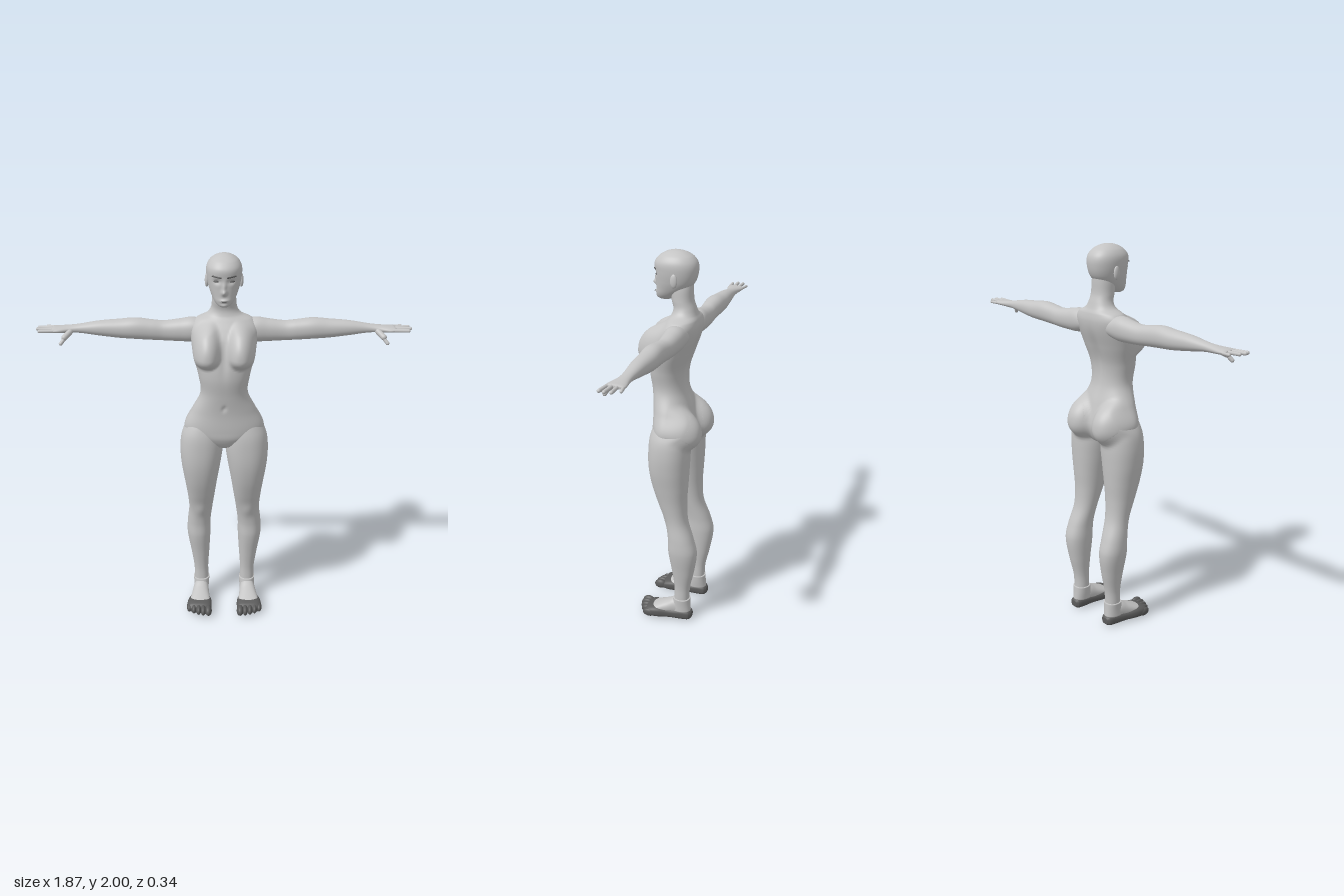
import * as THREE from 'three';

const skin = new THREE.MeshStandardMaterial({ color: 0xc4c4c4 });
skin.name = 'skin grey';
const dark = new THREE.MeshStandardMaterial({ color: 0x5c5c5c });
dark.name = 'dark grey';

// Axis maps: (t along the loft, a and b across it) to x, y, z
const upward = (t, a, b) => [a, t, b];
const sideways = (t, a, b) => [t, b, a];
const forward = (t, a, b) => [b, a, t];

// Smooth skin over sections [t, aMin, aMax, bMin, bMax]
function loft(sections, map, { segs = 40, steps = 7, power = 2.2 } = {}) {
  const slope = (i, k) => {
    const p = sections[Math.max(i - 1, 0)], q = sections[Math.min(i + 1, sections.length - 1)];
    return (q[k] - p[k]) / (q[0] - p[0]);
  };
  const rings = [];
  for (let i = 0; i < sections.length - 1; i++) {
    const p = sections[i], q = sections[i + 1], h = q[0] - p[0];
    for (let s = 0; s < steps; s++) {
      const u = s / steps, u2 = u * u, u3 = u2 * u;
      rings.push(p.map((v, k) => k === 0 ? v + h * u :
        (2 * u3 - 3 * u2 + 1) * v + (u3 - 2 * u2 + u) * h * slope(i, k) +
        (3 * u2 - 2 * u3) * q[k] + (u3 - u2) * h * slope(i + 1, k)));
    }
  }
  rings.push(sections[sections.length - 1]);
  const pos = [], index = [];
  const round = v => Math.sign(v) * Math.abs(v) ** (2 / power);
  for (const [t, a0, a1, b0, b1] of rings) {
    for (let j = 0; j < segs; j++) {
      const th = j / segs * Math.PI * 2;
      pos.push(...map(t, (a0 + a1) / 2 + (a1 - a0) / 2 * round(Math.cos(th)),
        (b0 + b1) / 2 + (b1 - b0) / 2 * round(Math.sin(th))));
    }
  }
  for (let i = 0; i < rings.length - 1; i++) {
    for (let j = 0; j < segs; j++) {
      const k = (j + 1) % segs, a = i * segs + j, b = i * segs + k;
      index.push(a, a + segs, b, b, a + segs, b + segs);
    }
  }
  // Closed ends
  const last = (rings.length - 1) * segs, n = rings.length * segs;
  for (const [t, a0, a1, b0, b1] of [rings[0], rings[rings.length - 1]]) {
    pos.push(...map(t, (a0 + a1) / 2, (b0 + b1) / 2));
  }
  for (let j = 0; j < segs; j++) {
    const k = (j + 1) % segs;
    index.push(n, j, k, n + 1, last + k, last + j);
  }
  const g = new THREE.BufferGeometry();
  g.setAttribute('position', new THREE.Float32BufferAttribute(pos, 3));
  g.setIndex(index);
  g.computeVertexNormals();
  return g;
}

// Push the surface in or out along z by soft bumps [x, y, z, rx, ry, rz, push]
function sculpt(g, bumps) {
  const p = g.attributes.position;
  for (let i = 0; i < p.count; i++) {
    let dz = 0;
    for (const [x, y, z, rx, ry, rz, push] of bumps) {
      dz += push * Math.exp(-(((p.getX(i) - x) / rx) ** 2) - ((p.getY(i) - y) / ry) ** 2 - ((p.getZ(i) - z) / rz) ** 2);
    }
    p.setZ(i, p.getZ(i) + dz);
  }
  g.computeVertexNormals();
  return g;
}

// Swell a mirrored pair of round lobes out of the front (side 1) or back (side -1)
function swell(g, { x, y, peak, depth, rx, down, up, side }) {
  const p = g.attributes.position, k = 0.02;
  for (let i = 0; i < p.count; i++) {
    const dy = p.getY(i) - y, z = p.getZ(i) * side;
    const r = Math.hypot((Math.abs(p.getX(i)) - x) / rx, dy / (dy > 0 ? up : down));
    const lobe = peak - depth * r ** 2.4;
    const blend = Math.max(k - Math.abs(z - lobe), 0) / k;
    const target = Math.max(z, lobe) + blend * blend * k / 4;
    p.setZ(i, side * (z + (target - z) * THREE.MathUtils.smoothstep(z, 0.01, 0.06)));
  }
  g.computeVertexNormals();
  return g;
}

// Ellipsoid whose upper half may be taller than its lower half
function blob(x, y, z, rx, ry, rz, up = ry) {
  const g = new THREE.SphereGeometry(1, 32, 24), p = g.attributes.position, nm = g.attributes.normal;
  for (let i = 0; i < p.count; i++) {
    const h = p.getY(i) > 0 ? up : ry;
    const n = new THREE.Vector3(p.getX(i) / rx, p.getY(i) / h, p.getZ(i) / rz).normalize();
    nm.setXYZ(i, n.x, n.y, n.z);
    p.setXYZ(i, x + p.getX(i) * rx, y + p.getY(i) * h, z + p.getZ(i) * rz);
  }
  return g;
}

// Rounded rod between two points
function rod(from, to, r) {
  const a = new THREE.Vector3(...from), b = new THREE.Vector3(...to), d = b.clone().sub(a);
  const g = new THREE.CapsuleGeometry(r, d.length(), 6, 14);
  g.applyQuaternion(new THREE.Quaternion().setFromUnitVectors(new THREE.Vector3(0, 1, 0), d.normalize()));
  const m = a.add(b).multiplyScalar(0.5);
  return g.translate(m.x, m.y, m.z);
}

function flipped(geo) {
  const g = geo.clone();
  for (const key of ['position', 'normal']) {
    const p = g.attributes[key];
    for (let i = 0; i < p.count; i++) p.setX(i, -p.getX(i));
  }
  g.setIndex([...g.index.array].reverse());
  return g;
}

export function createModel() {
  const model = new THREE.Group();
  model.name = 'figure';
  const add = (name, geo, mat = skin) => {
    const mesh = new THREE.Mesh(geo, mat);
    mesh.name = name;
    model.add(mesh);
  };
  const pair = (name, geo, mat = skin) => {
    add('left ' + name, geo, mat);
    add('right ' + name, flipped(geo), mat);
  };
  const breasts = { x: 0.08, y: 1.505, peak: 0.17, depth: 0.085, rx: 0.072, down: 0.066, up: 0.135, side: 1 };
  const buttocks = { x: 0.097, y: 1.09, peak: 0.167, depth: 0.09, rx: 0.1, down: 0.105, up: 0.13, side: -1 };

  // Torso and neck
  const torso = loft([
    [0.985, 0.03, -0.05, 0.02], [1.0, 0.08, -0.08, 0.06], [1.05, 0.165, -0.11, 0.093],
    [1.1, 0.206, -0.115, 0.1], [1.2, 0.165, -0.09, 0.103], [1.3, 0.12, -0.06, 0.115],
    [1.4, 0.13, -0.06, 0.128], [1.5, 0.155, -0.09, 0.118], [1.58, 0.165, -0.117, 0.09],
    [1.63, 0.165, -0.125, 0.06], [1.667, 0.138, -0.12, 0.032], [1.69, 0.088, -0.11, 0.016],
    [1.72, 0.066, -0.1, 0.01], [1.76, 0.06, -0.088, 0.02], [1.82, 0.056, -0.086, 0.03], [1.87, 0.045, -0.085, 0.03],
  ].map(([y, w, back, front]) => [y, -w, w, back, front]), upward, { segs: 128, steps: 10 });
  swell(swell(torso, breasts), buttocks);
  add('torso', sculpt(torso, [
    [0, 1.42, -0.08, 0.03, 0.17, 0.06, 0.014],
    [0, 1.235, 0.11, 0.01, 0.014, 0.03, -0.008],
    [0, 1.5, 0.12, 0.02, 0.08, 0.04, -0.008],
  ]));

  // Head with brow, nose, lips, chin and eye sockets
  const head = [
    [1.757, 0.022, 0.03, 0.084], [1.765, 0.034, 0.01, 0.095], [1.785, 0.05, -0.02, 0.1],
    [1.815, 0.065, -0.066, 0.1], [1.85, 0.077, -0.096, 0.101], [1.9, 0.086, -0.11, 0.105],
    [1.94, 0.085, -0.107, 0.106], [1.97, 0.069, -0.086, 0.084], [1.988, 0.045, -0.056, 0.055],
    [1.997, 0.022, -0.026, 0.027], [2.0, 0.004, -0.004, 0.005],
  ].map(([y, w, back, front]) => [y, -w, w, back, front]);
  add('head', sculpt(loft(head, upward, { segs: 110, steps: 9 }), [
    [0, 1.833, 0.1, 0.012, 0.013, 0.04, 0.018],
    [0, 1.858, 0.1, 0.009, 0.022, 0.04, 0.01],
    [0, 1.792, 0.1, 0.02, 0.008, 0.04, 0.009],
    [0, 1.768, 0.1, 0.018, 0.01, 0.04, 0.006],
    [0.034, 1.885, 0.1, 0.018, 0.012, 0.05, -0.01],
    [-0.034, 1.885, 0.1, 0.018, 0.012, 0.05, -0.01],
  ]));
  pair('ear', blob(0.084, 1.863, -0.016, 0.01, 0.032, 0.018, 0.036));
  pair('eye', blob(0.034, 1.885, 0.085, 0.017, 0.006, 0.008), dark);
  pair('eyebrow', rod([0.016, 1.906, 0.106], [0.055, 1.911, 0.088], 0.004), dark);
  add('mouth', blob(0, 1.792, 0.107, 0.016, 0.0025, 0.005), dark);

  // Arm and palm
  pair('arm', loft([
    [0.09, -0.105, 0.01, 1.56, 1.655], [0.16, -0.105, 0.008, 1.545, 1.667], [0.22, -0.102, 0, 1.545, 1.658],
    [0.3, -0.098, -0.008, 1.548, 1.648], [0.36, -0.096, -0.004, 1.552, 1.654], [0.44, -0.1, 0, 1.557, 1.663],
    [0.52, -0.1, -0.005, 1.562, 1.656], [0.62, -0.091, -0.012, 1.574, 1.648], [0.72, -0.081, -0.022, 1.588, 1.632],
    [0.77, -0.082, -0.018, 1.59, 1.626], [0.82, -0.09, -0.001, 1.593, 1.622], [0.845, -0.09, 0, 1.597, 1.62],
    [0.855, -0.08, -0.008, 1.602, 1.616],
  ], sideways));

  // Fingers and thumb
  const fingers = {
    'index finger': [[0.84, 1.608, -0.009], [0.913, 1.609, -0.003], 0.0088],
    'middle finger': [[0.84, 1.609, -0.033], [0.926, 1.612, -0.032], 0.0088],
    'ring finger': [[0.84, 1.608, -0.057], [0.92, 1.612, -0.063], 0.0085],
    'little finger': [[0.83, 1.606, -0.08], [0.886, 1.608, -0.092], 0.0075],
    'thumb base': [[0.765, 1.6, -0.025], [0.79, 1.58, 0.006], 0.015],
    'thumb tip': [[0.788, 1.577, 0.007], [0.808, 1.553, 0.021], 0.0095],
  };
  for (const [name, args] of Object.entries(fingers)) pair(name, rod(...args));

  // Leg with knee and shin
  const leg = loft([
    [0.08, 0.09, 0.166, -0.122, -0.037], [0.13, 0.089, 0.167, -0.12, -0.04], [0.2, 0.09, 0.168, -0.125, -0.04],
    [0.3, 0.083, 0.183, -0.147, -0.028], [0.42, 0.076, 0.202, -0.163, -0.01], [0.5, 0.075, 0.2, -0.143, -0.008],
    [0.6, 0.064, 0.19, -0.108, 0.01], [0.7, 0.05, 0.197, -0.1, 0.048], [0.8, 0.035, 0.211, -0.105, 0.08],
    [0.9, 0.018, 0.225, -0.11, 0.098], [1.0, 0.005, 0.228, -0.112, 0.1], [1.08, 0.008, 0.213, -0.105, 0.092],
    [1.18, 0.03, 0.155, -0.07, 0.06], [1.23, 0.06, 0.12, -0.04, 0.03],
  ], upward, { segs: 72 });
  pair('leg', sculpt(swell(leg, buttocks), [[0.127, 0.6, 0.01, 0.032, 0.04, 0.04, 0.008]]));

  // Ankle cuff, instep and dark lower foot
  pair('ankle cuff', loft([
    [0.05, 0.09, 0.17, -0.13, -0.01], [0.09, 0.086, 0.17, -0.127, -0.025], [0.128, 0.084, 0.172, -0.125, -0.035],
  ], upward));
  pair('instep', loft([
    [-0.11, 0.03, 0.085, 0.1, 0.16], [-0.05, 0.025, 0.12, 0.09, 0.17], [0, 0.02, 0.1, 0.085, 0.18],
    [0.06, 0.02, 0.074, 0.079, 0.192], [0.1, 0.02, 0.056, 0.085, 0.19],
  ], forward));
  pair('lower foot', loft([
    [-0.137, 0.012, 0.045, 0.11, 0.15], [-0.125, 0.003, 0.055, 0.097, 0.163], [-0.09, 0, 0.06, 0.092, 0.17],
    [-0.02, 0.002, 0.058, 0.086, 0.182], [0.05, 0, 0.068, 0.071, 0.203], [0.1, 0.002, 0.06, 0.072, 0.203],
    [0.122, 0.01, 0.045, 0.08, 0.185],
  ], forward, { power: 2.8 }), dark);
  for (let i = 0; i < 5; i++) {
    const r = i === 0 ? 0.019 : 0.0145;
    pair('toe ' + (i + 1), blob(i === 0 ? 0.088 : 0.09 + i * 0.026, 0.03, 0.13 - i * i * 0.0025, r, 0.024, 0.035, 0.03 - i * 0.002), dark);
  }

  return model;
}
